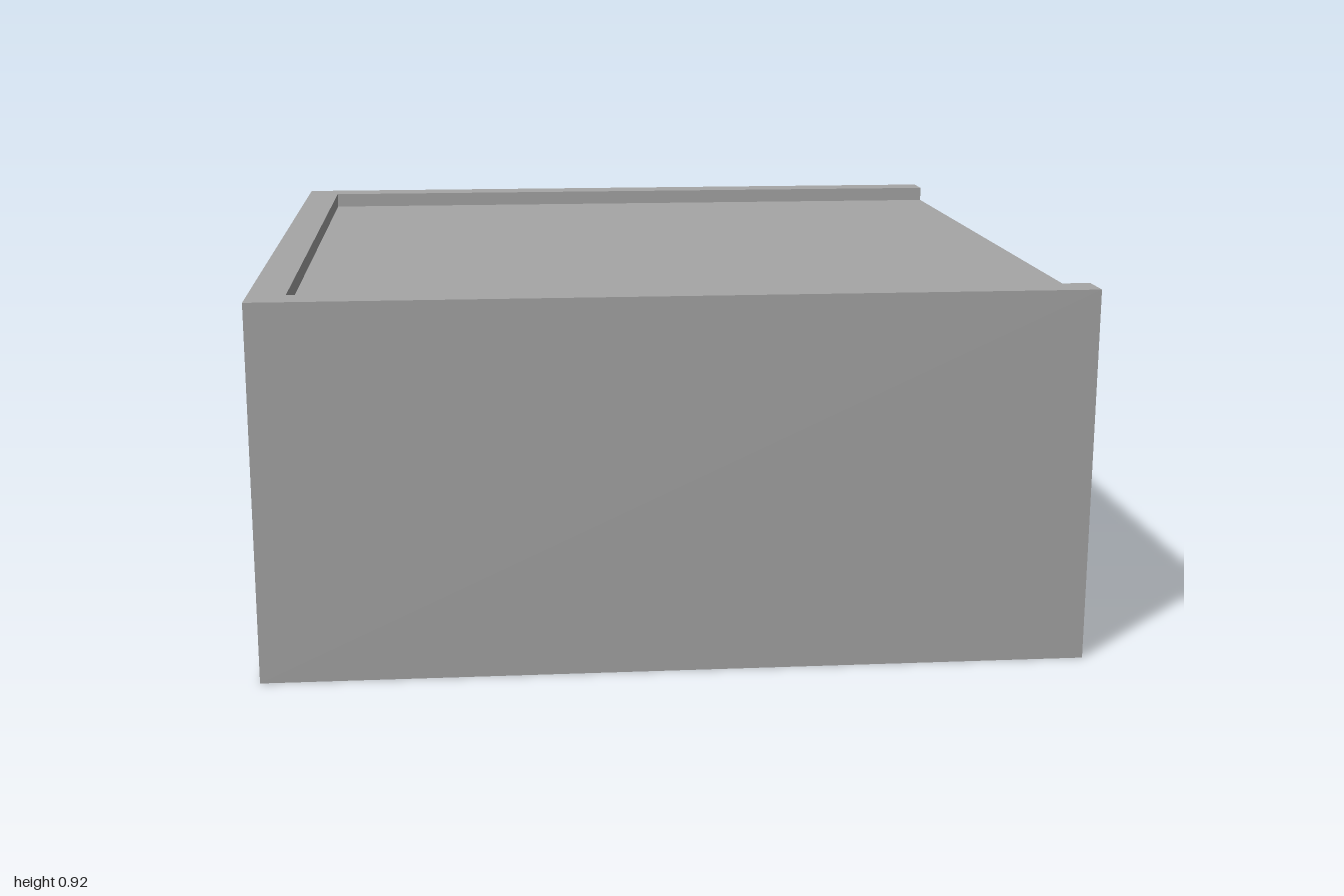
import * as THREE from 'three';

const H = 0.92;    // overall height
const DECK = 0.88; // recessed top panel height
const IN = 0.91;   // inner edge of the raised rim

export function createModel() {
  const group = new THREE.Group();
  const grey = new THREE.MeshStandardMaterial({ color: 0xa6a6a6, side: THREE.DoubleSide });
  grey.name = 'grey';

  const add = (name, geometry) => {
    const mesh = new THREE.Mesh(geometry, grey);
    mesh.name = name;
    group.add(mesh);
    return mesh;
  };
  // upright sheet: width, bottom, top, centre x/z and turn about y
  const sheet = (name, width, y0, y1, x, z, turn) => {
    const mesh = add(name, new THREE.PlaneGeometry(width, y1 - y0));
    mesh.position.set(x, (y0 + y1) / 2, z);
    mesh.rotation.y = turn;
  };

  // end wall on the closed side, with its rim lip
  sheet('endWall', 2, 0, H, -1, 0, -Math.PI / 2);
  sheet('endRimLip', 2 * IN, DECK, H, -IN, 0, Math.PI / 2);

  // mirrored front and back walls, rim lips and rim end caps
  for (const [side, s] of [['front', 1], ['back', -1]]) {
    sheet(side + 'Wall', 2, 0, H, 0, s, s > 0 ? 0 : Math.PI);
    sheet(side + 'RimLip', 1 + IN, DECK, H, (1 - IN) / 2, s * IN, s > 0 ? Math.PI : 0);
    sheet(side + 'RimCap', 1 - IN, DECK, H, 1, s * (1 + IN) / 2, Math.PI / 2);
  }

  // U-shaped rim top, open towards +x
  const outline = [[-1, -1], [1, -1], [1, -IN], [-IN, -IN], [-IN, IN], [1, IN], [1, 1], [-1, 1]];
  const rimShape = new THREE.Shape(outline.map(([x, y]) => new THREE.Vector2(x, y)));
  const rim = add('rimTop', new THREE.ShapeGeometry(rimShape).rotateX(-Math.PI / 2));
  rim.position.y = H;

  // recessed top panel
  const panel = add('topPanel', new THREE.PlaneGeometry(1 + IN, 2 * IN).rotateX(-Math.PI / 2));
  panel.position.set((1 - IN) / 2, DECK, 0);

  return group;
}
